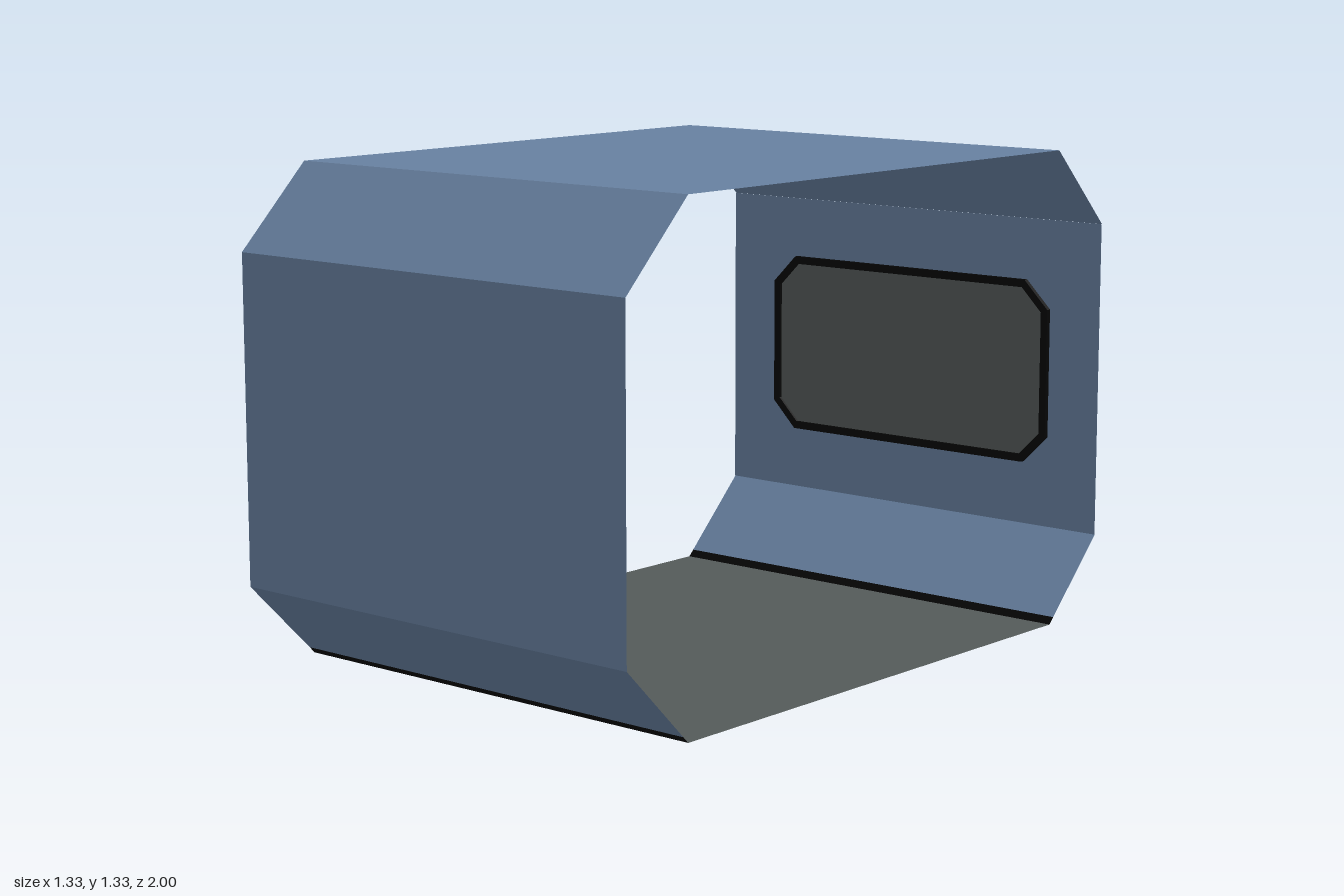
import * as THREE from 'three';

const HALF_WIDTH = 0.667, HEIGHT = 1.333, CUT = 0.222;

export function createModel() {
  const model = new THREE.Group();
  model.name = 'openShell';

  const material = (name, color) => {
    const m = new THREE.MeshStandardMaterial({ color, side: THREE.DoubleSide });
    m.name = name;
    return m;
  };
  const blue = material('shellBlue', 0x6780a0);
  const grey = material('darkGlass', 0x545a59);
  const black = material('blackTrim', 0x050505);

  const add = (name, geometry, mat) => {
    const mesh = new THREE.Mesh(geometry, mat);
    mesh.name = name;
    model.add(mesh);
    return mesh;
  };

  // Flat sheet across the full width between two [z, y] profile points
  const sheet = (name, [z1, y1], [z2, y2], mat) => {
    const geometry = new THREE.PlaneGeometry(2 * HALF_WIDTH, Math.hypot(z2 - z1, y2 - y1));
    geometry.rotateX(Math.atan2(z2 - z1, y2 - y1));
    geometry.translate(0, (y1 + y2) / 2, (z1 + z2) / 2);
    return add(name, geometry, mat);
  };

  // Octagonal section, from the front lower edge over the roof to the back
  const trim = 0.018, inner = 1 - CUT, top = HEIGHT - CUT;
  sheet('frontSillTrim', [inner, 0], [inner + trim, trim], black);
  sheet('frontLowerSlope', [inner + trim, trim], [1, CUT], blue);
  sheet('frontWall', [1, CUT], [1, top], blue);
  sheet('frontUpperSlope', [1, top], [inner, HEIGHT], blue);
  sheet('roof', [inner, HEIGHT], [-inner, HEIGHT], blue);
  sheet('backUpperSlope', [-inner, HEIGHT], [-1, top], blue);
  sheet('backLowerSlope', [-1, CUT], [-inner - trim, trim], blue);
  sheet('backSillTrim', [-inner - trim, trim], [-inner, 0], black);
  sheet('floor', [-inner, 0], [inner, 0], grey);

  // Window outline with cut corners, shrunk by an inset
  const outline = (inset) => {
    const w = 0.5 - inset, h = 0.265 - inset, c = 0.08 - inset * 0.586, y = HEIGHT / 2 + 0.003;
    return [
      [-w + c, -h], [w - c, -h], [w, -h + c], [w, h - c],
      [w - c, h], [-w + c, h], [-w, h - c], [-w, -h + c],
    ].map(([px, py]) => new THREE.Vector2(px, py + y));
  };

  // Back wall with its window opening
  const wall = new THREE.Shape([
    [-HALF_WIDTH, CUT], [HALF_WIDTH, CUT], [HALF_WIDTH, top], [-HALF_WIDTH, top],
  ].map(([x, y]) => new THREE.Vector2(x, y)));
  wall.holes.push(new THREE.Path(outline(0.002)));
  add('backWall', new THREE.ShapeGeometry(wall).rotateY(Math.PI).translate(0, 0, -0.998), blue);

  // Window frame and pane
  const frame = new THREE.Shape(outline(0));
  frame.holes.push(new THREE.Path(outline(0.022)));
  const frameGeometry = new THREE.ExtrudeGeometry(frame, { depth: 0.016, bevelEnabled: false });
  add('windowFrame', frameGeometry.translate(0, 0, -1), black);
  const pane = new THREE.ShapeGeometry(new THREE.Shape(outline(0.02)));
  add('windowPane', pane.rotateY(Math.PI).translate(0, 0, -0.992), grey);

  return model;
}
